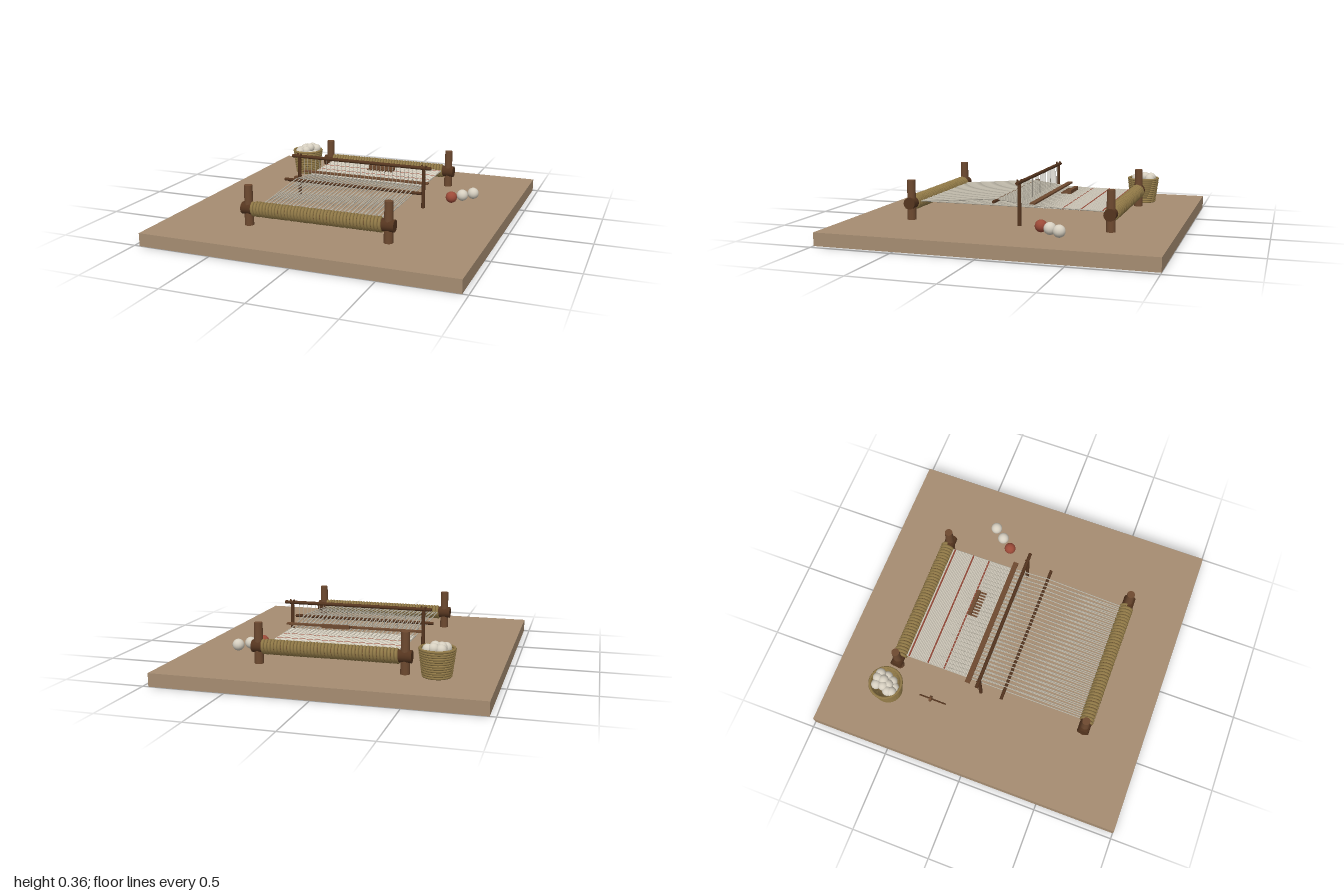
import * as THREE from 'three';
import { mergeGeometries } from 'three/addons/utils/BufferGeometryUtils.js';

const material = (name, color, side = THREE.FrontSide) => {
  const m = new THREE.MeshStandardMaterial({ color, side });
  m.name = name;
  return m;
};
const V = (x, y, z) => new THREE.Vector3(x, y, z);

// Cylinder running from a to b
function rodGeometry(a, b, r0, r1 = r0, sides = 10) {
  const dir = b.clone().sub(a);
  const g = new THREE.CylinderGeometry(r1, r0, dir.length(), sides);
  g.applyQuaternion(new THREE.Quaternion().setFromUnitVectors(V(0, 1, 0), dir.normalize()));
  const mid = a.clone().add(b).multiplyScalar(0.5);
  return g.translate(mid.x, mid.y, mid.z);
}

export function createModel() {
  const root = new THREE.Group();
  root.name = 'groundLoom';

  const earth = material('packed earth', 0xa68d72);
  const wood = material('wood', 0x6e4a30);
  const darkWood = material('dark wood', 0x55351f);
  const rope = material('rope', 0x937b48);
  const wicker = material('wicker', 0x80693f, THREE.DoubleSide);
  const wool = material('cream wool', 0xd6cfc0);
  const warpYarn = material('warp yarn', 0xbdb7a8);
  const redWool = material('red wool', 0x9c4a38);

  const add = (name, geometry, mat, parent = root) => {
    const mesh = new THREE.Mesh(geometry, mat);
    mesh.name = name;
    parent.add(mesh);
    return mesh;
  };
  const box = (w, h, d, x, y, z) => new THREE.BoxGeometry(w, h, d).translate(x, y, z);
  const ball = (r, x, y, z) => new THREE.SphereGeometry(r, 16, 12).translate(x, y, z);

  // Ground slab
  const floor = 0.08;
  add('ground', box(1.93, floor, 2, 0, floor / 2, 0), earth);

  // End beams wound with rope, each held by two stakes
  const beamY = 0.183;
  for (const side of [1, -1]) {
    const z = 0.625 * side;
    const end = new THREE.Group();
    end.name = side > 0 ? 'frontBeam' : 'backBeam';
    root.add(end);
    add('beam', rodGeometry(V(-0.48, beamY, z), V(0.478, beamY, z), 0.037, 0.037, 14), darkWood, end);

    const turns = 40, points = [];
    for (let i = 0; i <= turns * 12; i++) {
      const a = (i / 12) * Math.PI * 2;
      points.push(V(-0.41 + (0.82 * i) / (turns * 12), beamY + 0.037 * Math.cos(a), z + 0.037 * Math.sin(a)));
    }
    const winding = new THREE.CatmullRomCurve3(points);
    add('ropeWinding', new THREE.TubeGeometry(winding, turns * 14, 0.0105, 6), rope, end);

    for (const x of [-0.44, 0.44]) {
      add('stake', rodGeometry(V(x, floor, z), V(x, 0.326, z), 0.028, 0.025, 12), wood, end);
    }
  }

  // Warp: alternate threads lie flat or pass over the shed rod
  const count = 60, flat = [], raised = [];
  const low = 0.188;
  for (let i = 0; i < count; i++) {
    const x = -0.397 + (0.794 * i) / (count - 1);
    if (i % 2) {
      const path = [V(x, low, 0.6), V(x, 0.229, 0.085), V(x, low + 0.01, -0.17), V(x, low, -0.6)];
      for (let k = 0; k < 3; k++) raised.push(rodGeometry(path[k], path[k + 1], 0.0035, 0.0035, 6));
    } else {
      flat.push(rodGeometry(V(x, low, 0.6), V(x, low, -0.6), 0.0035, 0.0035, 6));
    }
  }
  add('lowerWarp', mergeGeometries(flat), warpYarn);
  add('upperWarp', mergeGeometries(raised), warpYarn);

  // Woven cloth: packed weft rows with three red ones
  const plain = [], red = [];
  const redRows = [1, 14, 25];
  for (let i = 0; i < 41; i++) {
    const z = -0.578 + i * 0.01;
    const row = rodGeometry(V(-0.397, 0.192, z), V(0.397, 0.192, z), 0.0055, 0.0055, 6);
    (redRows.includes(i) ? red : plain).push(row);
  }
  add('cloth', mergeGeometries(plain), wool);
  add('redStripes', mergeGeometries(red), redWool);

  // Shed rod and flat beater
  add('shedRod', rodGeometry(V(-0.465, 0.22, 0.083), V(0.462, 0.22, 0.083), 0.01), darkWood);
  add('batten', box(0.876, 0.01, 0.033, 0, 0.218, -0.153), wood);

  // Heddle bar on forked posts, with hanging loops
  const heddleZ = -0.07, barY = 0.34;
  const heddle = new THREE.Group();
  heddle.name = 'heddle';
  root.add(heddle);
  add('heddleBar', rodGeometry(V(-0.48, barY, heddleZ), V(0.477, barY, heddleZ), 0.011), darkWood, heddle);
  for (const x of [-0.43, 0.43]) {
    add('post', rodGeometry(V(x, floor, heddleZ), V(x, 0.33, heddleZ), 0.012, 0.011), darkWood, heddle);
    for (const s of [-1, 1]) {
      add('forkProng', rodGeometry(V(x, 0.318, heddleZ), V(x + 0.016 * s, 0.358, heddleZ + 0.008 * s), 0.008, 0.006, 8), darkWood, heddle);
    }
  }
  const loops = [];
  for (let i = 0; i < count; i += 2) {
    const x = -0.397 + (0.794 * i) / (count - 1);
    loops.push(rodGeometry(V(x, low, heddleZ), V(x, barY, heddleZ), 0.0018, 0.0018, 5));
  }
  add('heddleLoops', mergeGeometries(loops), warpYarn, heddle);

  // Weaving comb
  const comb = [box(0.176, 0.022, 0.024, 0.067, 0.251, -0.302)];
  for (let i = 0; i < 9; i++) comb.push(box(0.009, 0.008, 0.045, -0.016 + i * 0.0207, 0.244, -0.272));
  add('comb', mergeGeometries(comb), wood);

  // Coiled basket of wool
  const basket = new THREE.Group();
  basket.name = 'basket';
  basket.position.set(-0.622, floor, -0.625);
  root.add(basket);
  const wall = [[0, 0.004], [0.078, 0.004], [0.098, 0.165]].map(([r, y]) => new THREE.Vector2(r, y));
  add('basketWall', new THREE.LatheGeometry(wall, 28), wicker, basket);
  const coils = [];
  for (let i = 0; i < 12; i++) {
    const t = i / 11;
    coils.push(new THREE.TorusGeometry(0.079 + 0.02 * t, 0.0085, 6, 28)
      .rotateX(Math.PI / 2).translate(0, 0.009 + 0.152 * t, 0));
  }
  add('basketCoils', mergeGeometries(coils), rope, basket);
  const tufts = [
    [-0.03, 0.165, -0.05], [0.012, 0.172, -0.055], [0.045, 0.165, -0.05], [-0.025, 0.17, -0.005],
    [0.01, 0.175, -0.015], [-0.045, 0.16, 0.03], [-0.04, 0.155, 0.055], [-0.005, 0.16, 0.02],
    [0.03, 0.13, 0.03], [0.05, 0.13, -0.01], [0, 0.12, 0.05],
  ];
  add('woolTufts', mergeGeometries(tufts.map((p) => ball(0.032, ...p))), wool, basket);

  // Drop spindle lying beside the basket
  const spindle = new THREE.Group();
  spindle.name = 'spindle';
  root.add(spindle);
  add('shaft', rodGeometry(V(-0.587, 0.1, -0.425), V(-0.59, 0.105, -0.245), 0.005, 0.005, 8), darkWood, spindle);
  add('whorl', rodGeometry(V(-0.588, 0.101, -0.357), V(-0.588, 0.101, -0.343), 0.019, 0.019, 14), wood, spindle);

  // Balls of yarn
  const r = 0.037;
  add('redYarnBall', ball(r, 0.567, floor + r, -0.245), redWool);
  add('creamYarnBall', ball(r, 0.622, floor + r, -0.314), wool);
  add('creamYarnBall', ball(r, 0.677, floor + r, -0.383), wool);

  return root;
}
